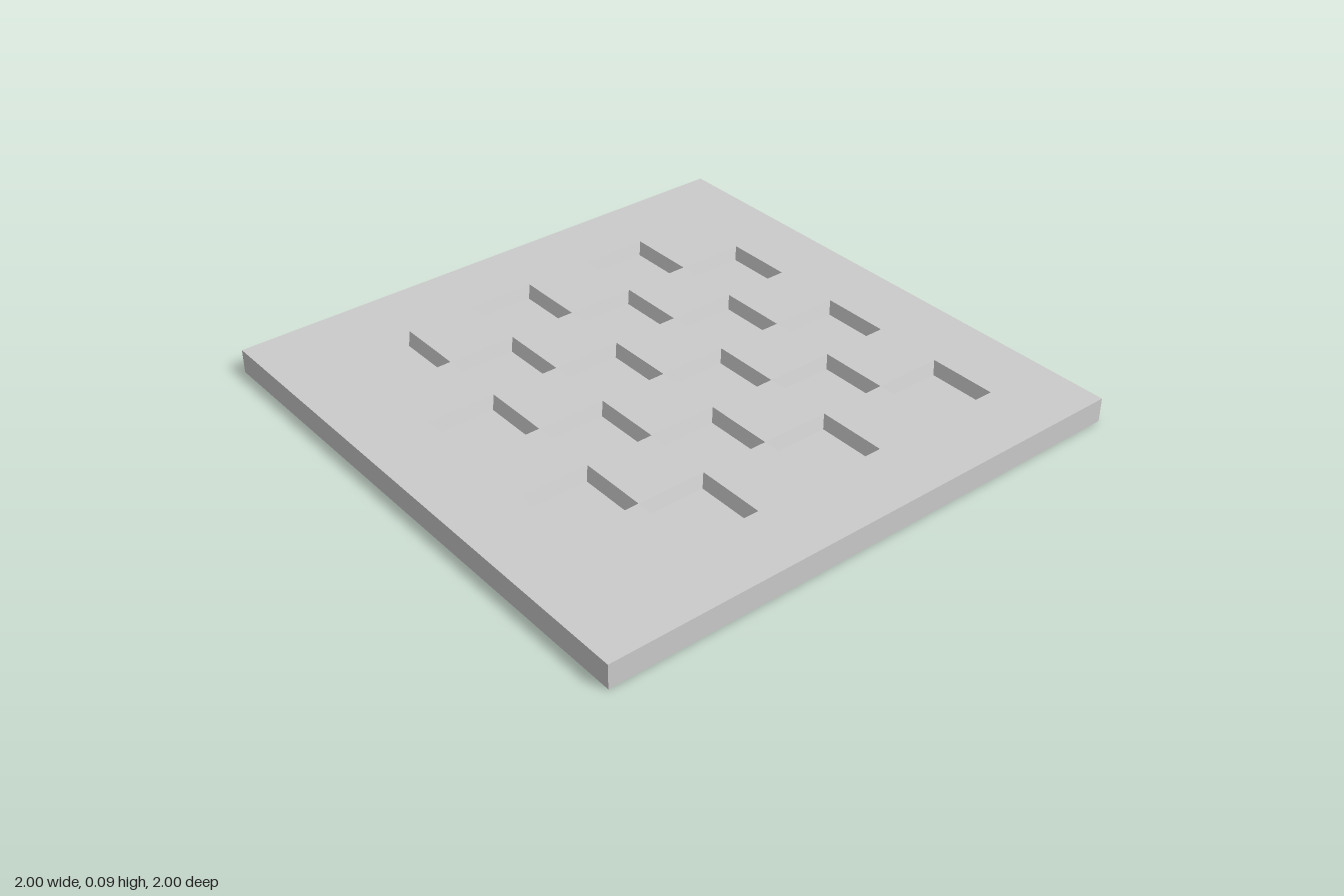
import * as THREE from 'three';

const HEIGHT = 0.087; // board height
const CELL = 0.25;    // checker square
const COUNT = 6;      // squares per side
const INSET = 0.016;  // slope of the recess walls
const DEPTH = 0.045;  // recess depth

const material = new THREE.MeshStandardMaterial({
  color: 0xcccccc, flatShading: true, side: THREE.DoubleSide,
});

// Four sloped or upright walls around a square, open above and below
function squareWalls(topSize, bottomSize, height) {
  const r = Math.SQRT1_2;
  return new THREE.CylinderGeometry(topSize * r, bottomSize * r, height, 4, 1, true, Math.PI / 4);
}

function flatSquare(size) {
  return new THREE.PlaneGeometry(size, size).rotateX(-Math.PI / 2);
}

function addMesh(parent, name, geometry, x, y, z) {
  const mesh = new THREE.Mesh(geometry, material);
  mesh.name = name;
  mesh.position.set(x, y, z);
  parent.add(mesh);
}

export function createModel() {
  const board = new THREE.Group();
  board.name = 'checkeredBoard';

  // Outer skirt, open underneath
  addMesh(board, 'sideWalls', squareWalls(2, 2, HEIGHT), 0, HEIGHT / 2, 0);

  // Flat border around the playing field
  const half = CELL * COUNT / 2;
  const corners = (s) => [[-s, -s], [s, -s], [s, s], [-s, s]].map(([x, y]) => new THREE.Vector2(x, y));
  const border = new THREE.Shape(corners(1));
  border.holes.push(new THREE.Path(corners(half).reverse()));
  addMesh(board, 'topBorder', new THREE.ShapeGeometry(border).rotateX(-Math.PI / 2), 0, HEIGHT, 0);

  // Alternating flush squares and recessed squares
  const tile = flatSquare(CELL);
  const floor = flatSquare(CELL - 2 * INSET);
  const walls = squareWalls(CELL, CELL - 2 * INSET, DEPTH);
  for (let row = 0; row < COUNT; row++) {
    for (let col = 0; col < COUNT; col++) {
      const x = (col + 0.5) * CELL - half;
      const z = (row + 0.5) * CELL - half;
      if ((row + col) % 2 === 0) {
        addMesh(board, 'flushSquare', tile, x, HEIGHT, z);
      } else {
        const recess = new THREE.Group();
        recess.name = 'recessedSquare';
        recess.position.set(x, HEIGHT, z);
        addMesh(recess, 'recessWalls', walls, 0, -DEPTH / 2, 0);
        addMesh(recess, 'recessFloor', floor, 0, -DEPTH, 0);
        board.add(recess);
      }
    }
  }
  return board;
}
